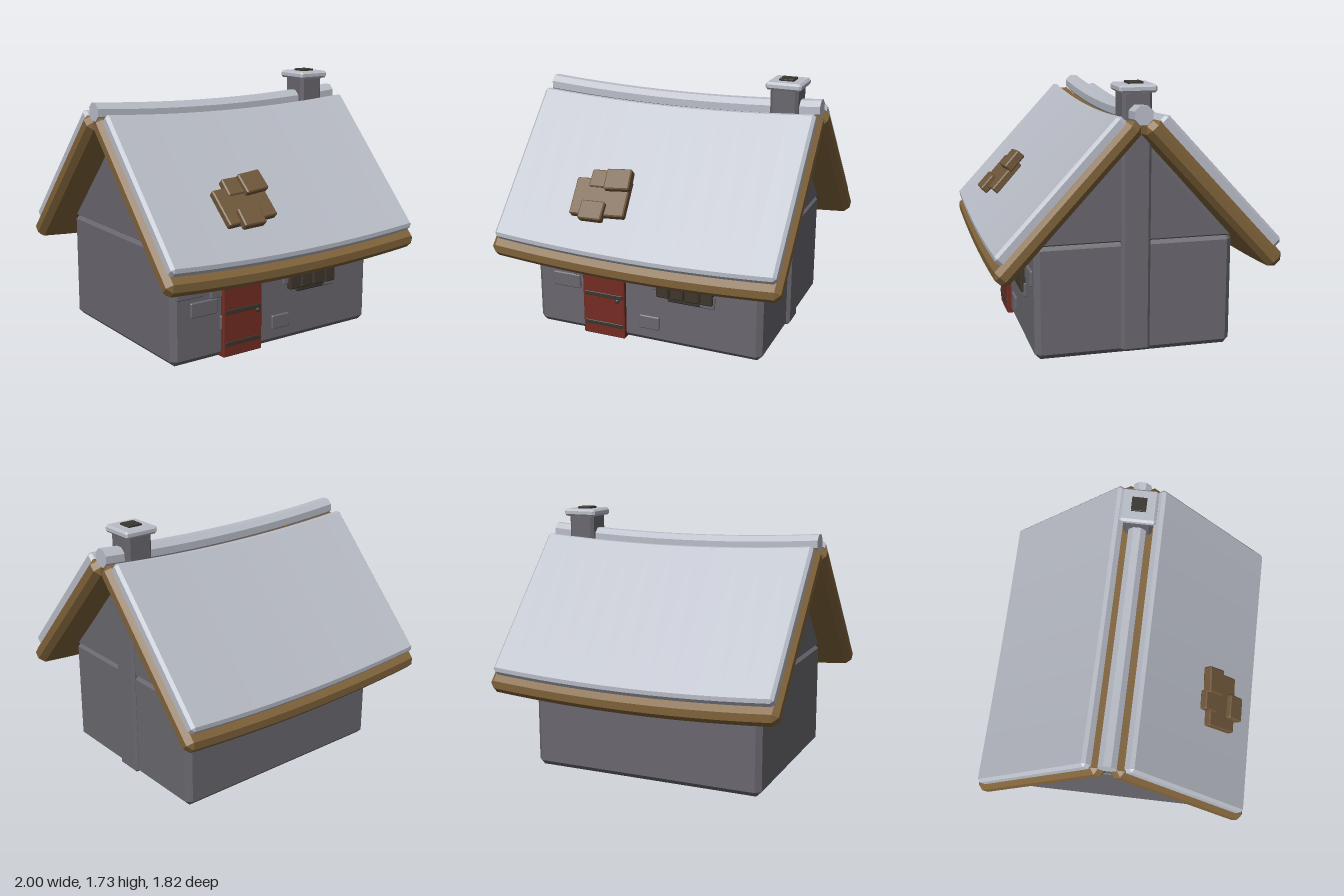
import * as THREE from 'three';

const mat = (name, color) => {
  const m = new THREE.MeshStandardMaterial({ color });
  m.name = name;
  return m;
};

// split faces so every facet is flat
function facet(geo) {
  const g = geo.index ? geo.toNonIndexed() : geo;
  g.computeVertexNormals();
  return g;
}

// box with chamfered edges, built from octagonal cross-sections along x
function chamferBox(w, h, d, b, segs = 1) {
  const H = h / 2, D = d / 2, W = w / 2, hi = H - b, di = D - b;
  const oct = [[H, -di], [H, di], [hi, D], [-hi, D], [-H, di], [-H, -di], [-hi, -D], [hi, -D]];
  const end = oct.map(([y, z]) => [Math.sign(y) * hi, Math.sign(z) * di]);
  const rings = [end.map(p => [-W, ...p])];
  for (let i = 0; i <= segs; i++) {
    const x = -W + b + (w - 2 * b) * i / segs;
    rings.push(oct.map(p => [x, ...p]));
  }
  rings.push(end.map(p => [W, ...p]));
  const pos = [];
  const last = rings.length - 1;
  for (let j = 0; j < 8; j++) {
    const k = (j + 1) % 8;
    for (let i = 0; i < last; i++) {
      const a = rings[i][j], e = rings[i][k], c = rings[i + 1][k], f = rings[i + 1][j];
      pos.push(...a, ...e, ...c, ...a, ...c, ...f);
    }
    pos.push(W, 0, 0, ...rings[last][j], ...rings[last][k]);
    pos.push(-W, 0, 0, ...rings[0][k], ...rings[0][j]);
  }
  const g = new THREE.BufferGeometry();
  g.setAttribute('position', new THREE.Float32BufferAttribute(pos, 3));
  return facet(g);
}

// the roof dips towards the middle of its length
function sag(geo) {
  const p = geo.attributes.position;
  for (let i = 0; i < p.count; i++) p.setY(i, p.getY(i) + 0.042 * (p.getX(i) ** 2 - 1));
  return facet(geo);
}

export function createModel() {
  const root = new THREE.Group();
  const stone = mat('stone', 0x69676e);
  const slate = mat('pale roof', 0xb9bdc7);
  const timber = mat('timber', 0x80633a);
  const plank = mat('patch plank', 0x6f573a);
  const red = mat('red door', 0x732c22);
  const iron = mat('dark iron', 0x3a3630);
  const darkWood = mat('dark wood', 0x3d362c);

  const add = (name, geo, material, parent = root) => {
    const m = new THREE.Mesh(geo, material);
    m.name = name;
    parent.add(m);
    return m;
  };
  // chamfered block given by its min/max extents
  const block = (name, material, x0, x1, y0, y1, z0, z1, b = 0.008, parent = root) => {
    const m = add(name, chamferBox(x1 - x0, y1 - y0, z1 - z0, b), material, parent);
    m.position.set((x0 + x1) / 2, (y0 + y1) / 2, (z0 + z1) / 2);
    return m;
  };

  // walls and gable, meeting in a shallow groove
  block('walls', stone, -0.81, 0.81, 0.005, 0.75, -0.645, 0.645, 0.036);
  const tri = new THREE.Shape();
  tri.moveTo(-0.6, 0.75);
  tri.lineTo(0.6, 0.75);
  tri.lineTo(0, 1.4);
  tri.closePath();
  const gable = new THREE.ExtrudeGeometry(tri, {
    depth: 1.55, bevelEnabled: true, bevelSize: 0.035, bevelThickness: 0.035, bevelSegments: 1,
  });
  gable.translate(0, 0, -0.775).rotateY(Math.PI / 2);
  add('gable', facet(gable), stone);

  // roof slopes: n is the distance along the slope normal, s the distance up the slope
  const tilt = 0.748;
  const slab = (w, s0, s1, n0, n1, b) => {
    const g = chamferBox(w, s1 - s0, n1 - n0, b, 12);
    g.translate(0, (s0 + s1) / 2, (n0 + n1) / 2).rotateX(-tilt);
    return sag(g);
  };
  for (const [side, turn] of [['front', 0], ['back', Math.PI]]) {
    const slope = new THREE.Group();
    slope.name = side + 'RoofSlope';
    slope.rotation.y = turn;
    add('timberLayer', slab(2, -0.177, 1.077, 0.99, 1.112, 0.036), timber, slope);
    add('roofCover', slab(1.94, -0.09, 1.045, 1.08, 1.173, 0.02), slate, slope);
    root.add(slope);
  }

  // ridge pole
  const pole = new THREE.CylinderGeometry(0.063, 0.063, 1.94, 8, 12);
  pole.rotateY(Math.PI / 8).rotateZ(Math.PI / 2).translate(0, 1.555, 0);
  add('ridgePole', sag(pole), slate);

  // repair planks on the front slope
  const patch = new THREE.Group();
  patch.name = 'roofPatch';
  patch.rotation.x = -tilt;
  root.add(patch);
  for (const [x0, x1, s0, s1, n0, n1, rot] of [
    [-0.48, -0.1, 0.14, 0.4, 1.14, 1.195, 0.07],
    [-0.39, -0.26, 0.33, 0.455, 1.15, 1.205, 0.04],
    [-0.275, -0.1, 0.32, 0.465, 1.17, 1.235, 0.1],
    [-0.39, -0.225, 0.095, 0.225, 1.17, 1.228, 0.03],
  ]) block('patchPlank', plank, x0, x1, s0, s1, n0, n1, 0.008, patch).rotation.z = rot;

  // chimney
  block('chimneyStack', stone, 0.645, 0.833, 0.02, 1.69, -0.095, 0.095, 0.02);
  block('chimneyCap', slate, 0.62, 0.858, 1.672, 1.722, -0.12, 0.12, 0.014);
  block('chimneyFlue', iron, 0.69, 0.788, 1.7, 1.735, -0.049, 0.049, 0.002);

  // door with iron bands and knob
  block('door', red, -0.445, -0.14, 0.005, 0.6, 0.6, 0.676, 0.006);
  for (const y of [0.093, 0.305, 0.515]) {
    block('doorBand', iron, -0.43, -0.152, y - 0.014, y + 0.014, 0.66, 0.683, 0.003);
  }
  block('doorLintel', darkWood, -0.48, -0.1, 0.588, 0.64, 0.62, 0.695);
  const knob = add('doorKnob', facet(new THREE.SphereGeometry(0.016, 8, 6)), iron);
  knob.position.set(-0.185, 0.283, 0.69);

  // boarded window
  block('windowBack', iron, 0.165, 0.405, 0.33, 0.6, 0.62, 0.66);
  for (const [x0, x1] of [[0.093, 0.182], [0.19, 0.283], [0.292, 0.394], [0.398, 0.485]]) {
    block('windowBoard', darkWood, x0, x1, 0.36, 0.6, 0.63, 0.68);
  }

  // raised stones in the front wall
  for (const [x0, x1, y0, y1] of [
    [-0.785, -0.585, 0.44, 0.54], [-0.68, -0.475, 0.31, 0.41], [-0.53, -0.4, 0.41, 0.49],
    [-0.455, -0.36, 0.19, 0.285], [-0.04, 0.105, 0.105, 0.2], [0.05, 0.2, 0.4, 0.49],
    [0.385, 0.495, 0.33, 0.42], [0.525, 0.73, 0.47, 0.57], [-0.03, 0.12, 0.58, 0.67],
  ]) block('wallStone', stone, x0, x1, y0, y1, 0.62, 0.66, 0.006);

  return root;
}
